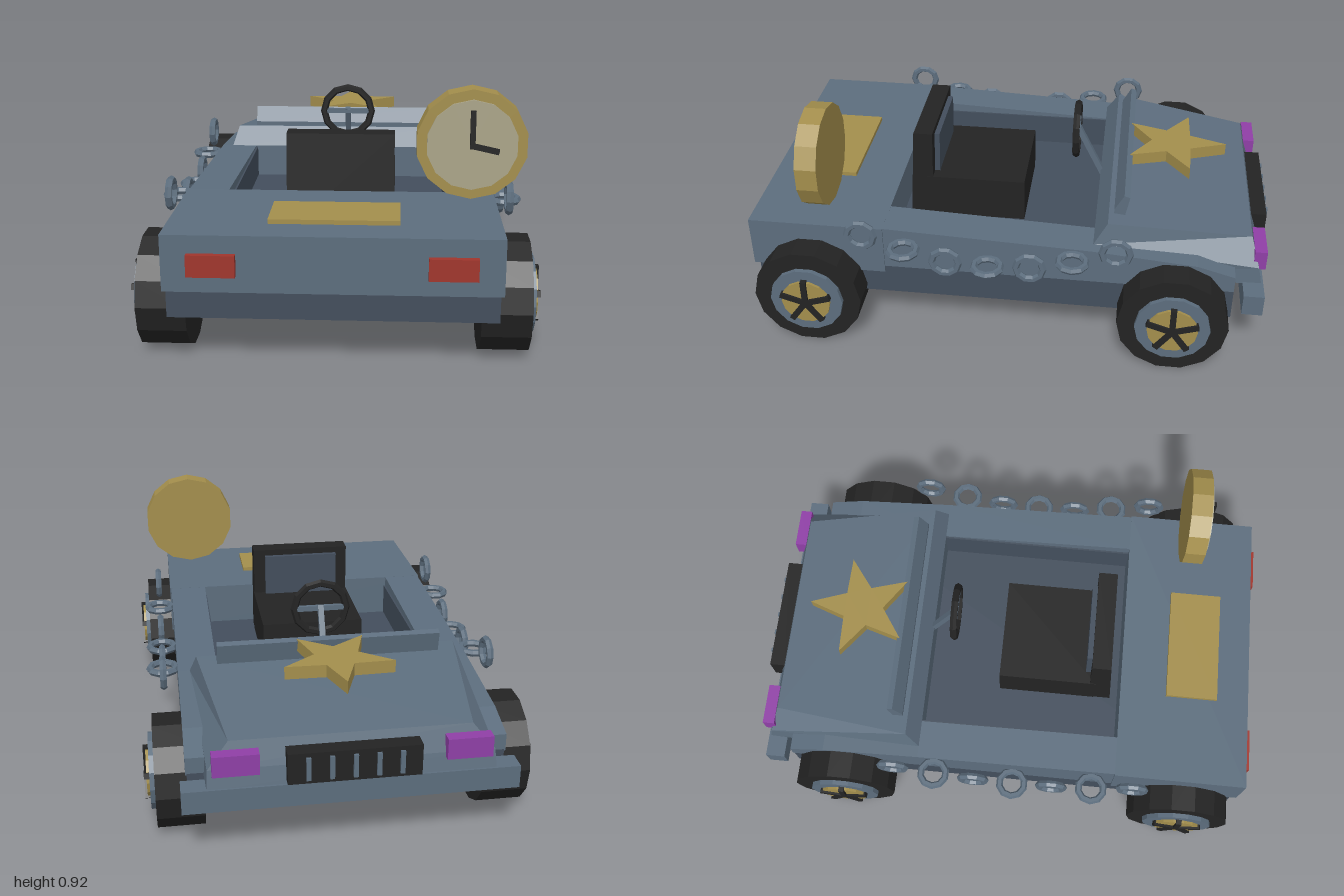
import * as THREE from 'three';

const mat = (name, color) => Object.assign(new THREE.MeshStandardMaterial({ color, flatShading: true }), { name });

export function createModel() {
  const body = mat('slate blue', 0x5c6d7d), dark = mat('dark slate', 0x434e5c);
  const black = mat('black', 0x232323), gold = mat('gold', 0xa38e4c);
  const cream = mat('clock cream', 0xaaa488), red = mat('red', 0xa0352c), purple = mat('purple', 0x8f3fa6);
  const car = new THREE.Group();
  car.name = 'openCar';

  const add = (name, geo, m, x = 0, y = 0, z = 0, parent = car) => {
    const mesh = new THREE.Mesh(geo, m);
    mesh.name = name;
    mesh.position.set(x, y, z);
    parent.add(mesh);
    return mesh;
  };
  // box given by its limits on each axis
  const box = (name, m, x0, x1, y0, y1, z0, z1, parent = car) =>
    add(name, new THREE.BoxGeometry(x1 - x0, y1 - y0, z1 - z0), m, (x0 + x1) / 2, (y0 + y1) / 2, (z0 + z1) / 2, parent);
  // side profile of [z, y] points, extruded from x0 to x1
  const profile = (name, m, pts, x0, x1) => {
    const shape = new THREE.Shape(pts.map(p => new THREE.Vector2(...p)));
    const geo = new THREE.ExtrudeGeometry(shape, { depth: x1 - x0, bevelEnabled: false });
    geo.rotateY(-Math.PI / 2).translate(x1, 0, 0);
    return add(name, geo, m);
  };
  // stacked four-sided levels, each [rear x, y, z, front x, y, z]
  const loft = levels => {
    const pos = [], idx = [];
    for (const [rx, ry, rz, fx, fy, fz] of levels) pos.push(rx, ry, rz, fx, fy, fz, -fx, fy, fz, -rx, ry, rz);
    for (let i = 0; i < levels.length - 1; i++) {
      for (let j = 0; j < 4; j++) {
        const a = i * 4 + j, b = i * 4 + (j + 1) % 4;
        idx.push(a, b, b + 4, a, b + 4, a + 4);
      }
    }
    const t = (levels.length - 1) * 4;
    idx.push(t, t + 1, t + 2, t, t + 2, t + 3, 0, 2, 1, 0, 3, 2);
    const geo = new THREE.BufferGeometry();
    geo.setAttribute('position', new THREE.Float32BufferAttribute(pos, 3));
    geo.setIndex(idx);
    const flat = geo.toNonIndexed();
    flat.computeVertexNormals();
    return flat;
  };

  // Chassis, rear deck and cockpit sides
  box('chassis', dark, -0.56, 0.56, 0.18, 0.31, -0.86, 0.96);
  box('rearDeck', body, -0.57, 0.57, 0.28, 0.48, 0.46, 0.978);
  for (const s of [-1, 1]) {
    const x = [0.415 * s, 0.565 * s].sort((a, b) => a - b);
    profile('bodySide', body, [[-0.86, 0.305], [0.47, 0.305], [0.47, 0.48], [-0.33, 0.445], [-0.72, 0.41], [-0.86, 0.37]], ...x);
    box('cockpitLining', dark, Math.min(0.408 * s, 0.415 * s), Math.max(0.408 * s, 0.415 * s), 0.31, 0.44, -0.33, 0.46);
  }

  // Hood, cowl bar and bumper
  add('hood', loft([
    [0.515, 0.30, -0.33, 0.5, 0.30, -0.965],
    [0.52, 0.445, -0.33, 0.495, 0.37, -0.95],
    [0.495, 0.525, -0.38, 0.42, 0.46, -0.92],
  ]), body);
  profile('cowlBar', body, [[-0.40, 0.51], [-0.40, 0.54], [-0.435, 0.603], [-0.457, 0.595], [-0.44, 0.51]], -0.42, 0.42);
  box('bumper', body, -0.585, 0.585, 0.22, 0.305, -0.972, -0.895);

  // Grille and lamps
  box('grille', black, -0.23, 0.23, 0.315, 0.43, -0.99, -0.93);
  for (let i = -2; i <= 2; i++) box('grilleSlat', body, i * 0.08 - 0.008, i * 0.08 + 0.008, 0.33, 0.415, -1, -0.98);
  for (const x of [-0.4, 0.4]) {
    box('headlamp', purple, x - 0.08, x + 0.08, 0.355, 0.432, -0.976, -0.93);
    box('tailLamp', red, x - 0.082, x + 0.082, 0.34, 0.417, 0.96, 1);
  }

  // Star above the hood, pointing forward
  const star = new THREE.Shape();
  for (let i = 0; i < 10; i++) {
    const r = i % 2 ? 0.085 : 0.21, a = Math.PI / 2 + i * Math.PI / 5;
    star[i ? 'lineTo' : 'moveTo'](r * Math.cos(a), r * Math.sin(a));
  }
  const starGeo = new THREE.ExtrudeGeometry(star, { depth: 0.048, bevelEnabled: false }).rotateX(-Math.PI / 2);
  add('hoodStar', starGeo, gold, 0, 0.553, -0.615);

  // Gold plate on the deck
  box('deckPlate', gold, -0.225, 0.225, 0.478, 0.496, 0.645, 0.85);

  // Seat
  box('seatCushion', black, -0.205, 0.205, 0.31, 0.488, -0.035, 0.36);
  profile('seatBack', black, [[0.34, 0.31], [0.43, 0.31], [0.405, 0.685], [0.33, 0.685]], -0.203, 0.203);
  profile('seatBackPad', dark, [[0.315, 0.47], [0.36, 0.47], [0.34, 0.66], [0.31, 0.66]], -0.155, 0.155);

  // Steering wheel and column
  add('steeringWheel', new THREE.TorusGeometry(0.102, 0.015, 6, 12), black, 0, 0.632, -0.228);
  box('steeringCrossbar', body, -0.095, 0.095, 0.622, 0.642, -0.238, -0.222);
  const column = add('steeringColumn', new THREE.BoxGeometry(0.022, 0.24, 0.022), body, 0, 0.535, -0.285);
  column.rotation.x = Math.atan2(0.1, 0.2);

  // Standing clock at the rear
  const disc = (r, d, n = 14) => new THREE.CylinderGeometry(r, r, d, n).rotateX(Math.PI / 2);
  const clock = new THREE.Group();
  clock.name = 'clock';
  clock.position.set(0.465, 0.735, 0);
  car.add(clock);
  add('clockCase', disc(0.192, 0.08), gold, 0, 0, 0.698, clock);
  add('clockFace', disc(0.157, 0.012), cream, 0, 0, 0.741, clock);
  box('minuteHand', black, -0.009, 0.009, -0.009, 0.122, 0.745, 0.763, clock);
  const hour = add('hourHand', new THREE.BoxGeometry(0.095, 0.018, 0.018), black, 0.044, -0.01, 0.754, clock);
  hour.rotation.z = -0.22;

  // Wheels, built facing +x and turned for the right side
  const wheel = (s, z) => {
    const g = new THREE.Group();
    g.name = 'wheel';
    g.position.set(0.585 * s, 0.207, z);
    if (s < 0) g.rotation.y = Math.PI;
    const part = (name, r, d, m, x, n = 14) =>
      add(name, new THREE.CylinderGeometry(r, r, d, n).rotateZ(Math.PI / 2), m, x, 0, 0, g);
    part('tire', 0.207, 0.17, black, 0);
    part('rim', 0.14, 0.03, body, 0.088);
    part('hubDisc', 0.094, 0.012, gold, 0.108);
    for (let i = 0; i < 5; i++) {
      const a = i * Math.PI * 2 / 5;
      const spoke = add('spoke', new THREE.BoxGeometry(0.02, 0.1, 0.022).translate(0, 0.05, 0), black, 0.113, 0, 0, g);
      spoke.rotation.x = a;
    }
    car.add(g);
  };
  for (const s of [-1, 1]) for (const z of [-0.64, 0.745]) wheel(s, z);

  // Chains along the sides, links alternating upright and flat
  const link = new THREE.TorusGeometry(0.051, 0.014, 6, 10);
  const heights = [0.485, 0.43, 0.39, 0.38, 0.39, 0.43, 0.485];
  for (const s of [-1, 1]) {
    heights.forEach((y, i) => {
      const l = add('chainLink', link, body, 0.62 * s, y, 0.53 - i * 0.158);
      if (i % 2) l.rotation.x = Math.PI / 2;
      else l.rotation.y = Math.PI / 2;
    });
  }
  return car;
}
